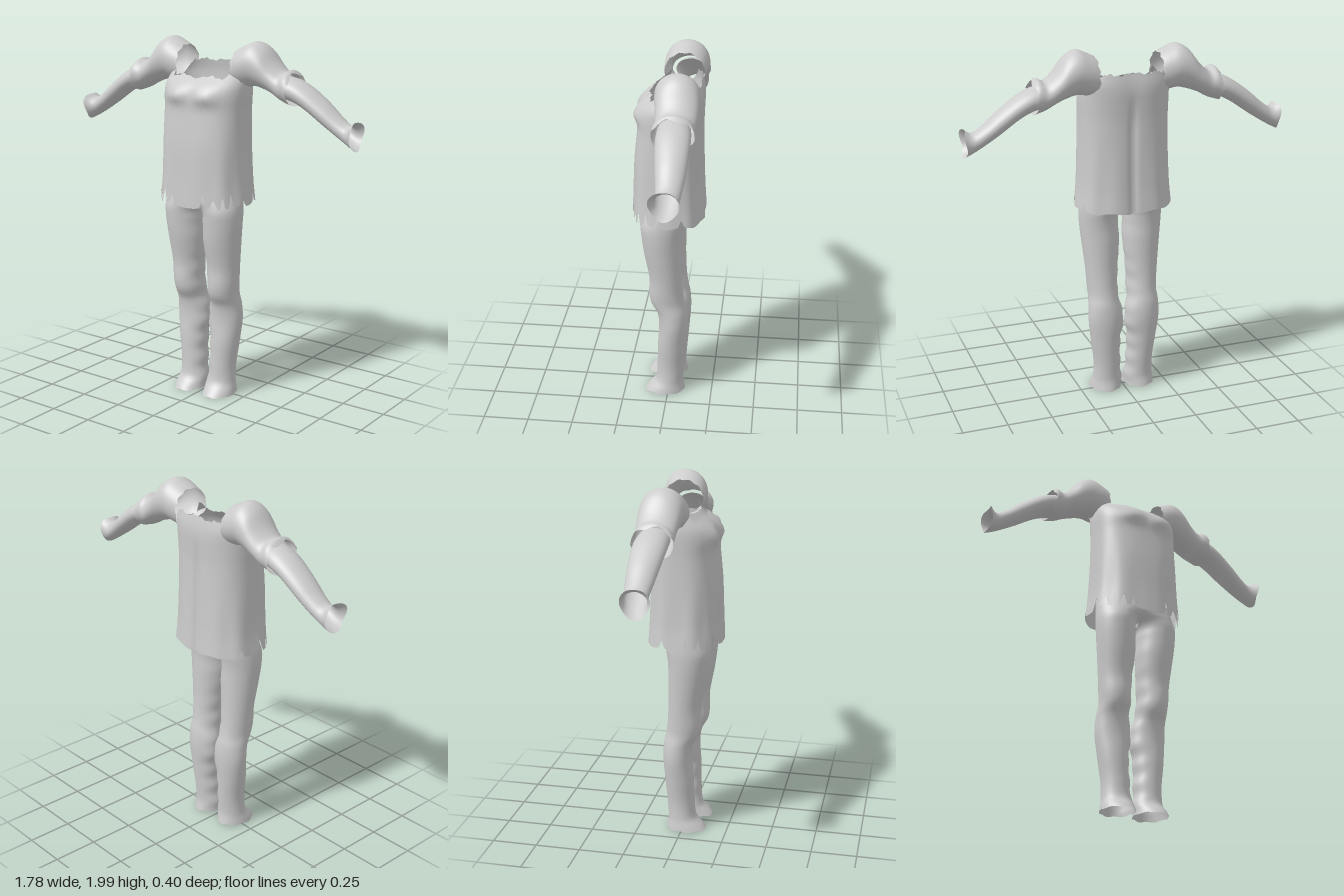
import * as THREE from 'three';
import { mergeVertices } from 'three/addons/utils/BufferGeometryUtils.js';

const cloth = new THREE.MeshStandardMaterial({ color: 0xcccccc, side: THREE.DoubleSide });
cloth.name = 'lightGreyCloth';
const PI = Math.PI, lerp = THREE.MathUtils.lerp, step = THREE.MathUtils.smoothstep;

// smooth interpolation through table rows [key, ...values], keys ascending
function sample(rows, k) {
  let i = 0;
  while (i < rows.length - 2 && k > rows[i + 1][0]) i++;
  const a = rows[i], b = rows[i + 1], h = b[0] - a[0];
  const t = THREE.MathUtils.clamp((k - a[0]) / h, 0, 1);
  const slope = (j, c) => {
    const p = rows[Math.max(j - 1, 0)], q = rows[Math.min(j + 1, rows.length - 1)];
    return (q[c] - p[c]) / (q[0] - p[0]);
  };
  return a.slice(1).map((_, n) => {
    const c = n + 1, t2 = t * t, t3 = t2 * t;
    return (2 * t3 - 3 * t2 + 1) * a[c] + (t3 - 2 * t2 + t) * h * slope(i, c)
      + (3 * t2 - 2 * t3) * b[c] + (t3 - t2) * h * slope(i + 1, c);
  });
}

// open cloth surface from a point rule; side = -1 mirrors it across x
function surface(name, fn, nu, nv, side = 1) {
  const pos = [], idx = [];
  for (let j = 0; j <= nv; j++) for (let i = 0; i <= nu; i++) {
    const [x, y, z] = fn(i / nu, j / nv);
    pos.push(x * side, y, z);
  }
  for (let j = 0; j < nv; j++) for (let i = 0; i < nu; i++) {
    const a = j * (nu + 1) + i, b = a + 1, c = a + nu + 1, d = c + 1;
    if (side > 0) idx.push(a, c, b, b, c, d);
    else idx.push(a, b, c, b, d, c);
  }
  let g = new THREE.BufferGeometry();
  g.setAttribute('position', new THREE.Float32BufferAttribute(pos, 3));
  g.setIndex(idx);
  g = mergeVertices(g, 1e-5);
  g.computeVertexNormals();
  const m = new THREE.Mesh(g, cloth);
  m.name = name;
  return m;
}

const zigzag = (t) => Math.abs((((t % 1) + 1) % 1) * 2 - 1);
const sgnPow = (c, p) => Math.sign(c) * Math.pow(Math.abs(c), p);

// tunic: height, half width, front z, back z
const TUNIC = [
  [1.12, 0.265, 0.2, -0.198], [1.25, 0.252, 0.195, -0.19], [1.45, 0.245, 0.188, -0.183],
  [1.62, 0.243, 0.172, -0.18], [1.72, 0.245, 0.165, -0.183], [1.77, 0.243, 0.145, -0.185],
  [1.82, 0.235, 0.09, -0.182], [1.88, 0.205, 0.03, -0.17],
];
// hem notches: angle, half width, depth (front is at 90 degrees)
const NOTCHES = [[8, 5, 0.06], [28, 5, 0.07], [43, 4, 0.08], [57, 6, 0.05], [72, 4, 0.07], [108, 4, 0.05],
  [122, 6, 0.07], [136, 4, 0.08], [152, 5, 0.06], [172, 5, 0.07], [200, 5, 0.04], [340, 5, 0.04]];

function tunicPoint(u, v) {
  const th = u * 2 * PI, deg = u * 360, c = Math.cos(th), s = Math.sin(th);
  let hem = 1.125 + 0.012 * Math.sin(5 * th) * Math.sin(3 * th);
  for (const [at, w, d] of NOTCHES) hem += d * Math.max(0, 1 - Math.abs(deg - at) / w);
  // low front neckline, higher back, rising into the straps, cut down at the armholes
  const ax = Math.abs(sgnPow(c, 0.78));
  const neck = s > 0 ? 1.808 + 0.05 * step(ax, 0.72, 0.82) : 1.868;
  const ragged = 0.008 * zigzag(u * 30) + 0.006 * Math.sin(th * 11);
  const top = lerp(neck + ragged, 1.79, step(ax, 0.86, 0.98));
  const y = lerp(hem, top, v);
  const [rx, zf, zb] = sample(TUNIC, y);
  const fold = 1 + 0.014 * Math.sin(9 * th + 1) * (1 - step(y, 1.2, 1.6));
  const x = rx * sgnPow(c, 0.78) * fold;
  let z = (zf + zb) / 2 + (zf - zb) / 2 * sgnPow(s, 0.78) * fold;
  if (s > 0) { // bust
    const dx = (Math.abs(x) - 0.095) / 0.075, dy = (y - 1.71) / (y < 1.71 ? 0.04 : 0.055);
    z += 0.024 * Math.exp(-dx * dx - dy * dy);
  } else { // fold down the centre back
    z += 0.016 * Math.exp(-((x / 0.018) ** 2)) * (1 - step(y, 1.55, 1.8)) + 0.006 * Math.exp(-((x / 0.06) ** 2));
  }
  return [x, y, z];
}

// puffed upper sleeve: x, top y, bottom y, front z, back z
const SLEEVE = [
  [0.17, 1.955, 1.745, 0.05, -0.165], [0.22, 1.98, 1.755, 0.055, -0.175], [0.28, 2.0, 1.765, 0.052, -0.182],
  [0.34, 1.97, 1.752, 0.045, -0.182], [0.4, 1.895, 1.73, 0.035, -0.178], [0.455, 1.852, 1.7, 0.035, -0.17],
  [0.495, 1.866, 1.685, 0.042, -0.172], [0.53, 1.83, 1.675, 0.045, -0.175],
];
// fitted lower sleeve, flared at the wrist
const FOREARM = [
  [0.45, 1.835, 1.715, 0.015, -0.15], [0.53, 1.818, 1.695, 0.018, -0.157], [0.6, 1.785, 1.66, 0.014, -0.156],
  [0.7, 1.715, 1.592, 0.002, -0.15], [0.79, 1.64, 1.535, -0.01, -0.137], [0.845, 1.61, 1.503, -0.008, -0.13],
  [0.89, 1.64, 1.48, 0.02, -0.138],
];
function armPoint(rows, x, th) {
  const [t, b, f, k] = sample(rows, x);
  return [x, (t + b) / 2 + (t - b) / 2 * Math.sin(th), (f + k) / 2 + (f - k) / 2 * Math.cos(th)];
}
// the sleeve starts as an arched shoulder strap and closes under the arm
function sleevePoint(u, v) {
  const start = 0.172 + 0.01 * zigzag(u * 7);
  const end = 0.508 + 0.016 * zigzag(u * 5 + 0.25);
  const x = lerp(start, end, v);
  const gap = (1 - step(x, 0.17, 0.26)) * 1.15;
  return armPoint(SLEEVE, x, lerp(-PI / 2 + gap, 1.5 * PI - gap, u));
}
function forearmPoint(u, v) {
  const th = lerp(-PI / 2, 1.5 * PI, u);
  return armPoint(FOREARM, lerp(0.46, 0.882 + 0.007 * Math.sin(3 * th), v), th);
}

// trouser leg: y, outer x, inner x, front z, back z
const LEG = [
  [0.01, 0.19, 0.006, 0.135, -0.098], [0.045, 0.184, 0.01, 0.108, -0.09], [0.08, 0.176, 0.014, 0.075, -0.084],
  [0.18, 0.174, 0.022, 0.064, -0.09], [0.32, 0.192, 0.024, 0.06, -0.101], [0.45, 0.207, 0.006, 0.052, -0.11],
  [0.54, 0.204, 0.022, 0.062, -0.105], [0.6, 0.199, 0.03, 0.095, -0.092], [0.66, 0.203, 0.031, 0.106, -0.084],
  [0.76, 0.21, 0.027, 0.105, -0.078], [0.92, 0.226, 0.014, 0.133, -0.077], [1.02, 0.235, 0.018, 0.145, -0.077],
  [1.1, 0.236, 0.0, 0.15, -0.09], [1.22, 0.225, -0.225, 0.14, -0.14],
];
function legPoint(u, v) {
  const wave = u * 2 * PI;
  const foot = 0.012 + 0.012 * (1 + Math.sin(wave * 4) * Math.cos(wave * 3)) / 2;
  const y = lerp(foot, 1.22, v), up = Math.max(0, (y - 1.1) / 0.12);
  // above the crotch each side opens into half of the hips
  let [o, i, f, k] = sample(LEG, y);
  if (up > 0) { o = lerp(0.236, 0.225, up); i = lerp(0, -0.225, up); }
  const r = (o - i) / 2, gap = up > 0 ? Math.acos(Math.min(1, (o + i) / 2 / r)) : 0;
  const th = lerp(-PI + gap, PI - gap, u);
  const wrinkle = 0.004 * Math.sin(y * 58) * Math.max(0, -Math.cos(th)) * (1 - step(y, 0.5, 1));
  return [(o + i) / 2 + r * Math.cos(th) + wrinkle, y, (f + k) / 2 + (f - k) / 2 * Math.sin(th)];
}

export function createModel() {
  const model = new THREE.Group();
  model.name = 'outfit';
  model.add(surface('tunic', tunicPoint, 180, 48));
  for (const [label, side] of [['left', 1], ['right', -1]]) {
    model.add(surface(label + 'Sleeve', sleevePoint, 56, 32, side));
    model.add(surface(label + 'Forearm', forearmPoint, 40, 28, side));
    model.add(surface(label + 'TrouserLeg', legPoint, 48, 72, side));
  }
  return model;
}
